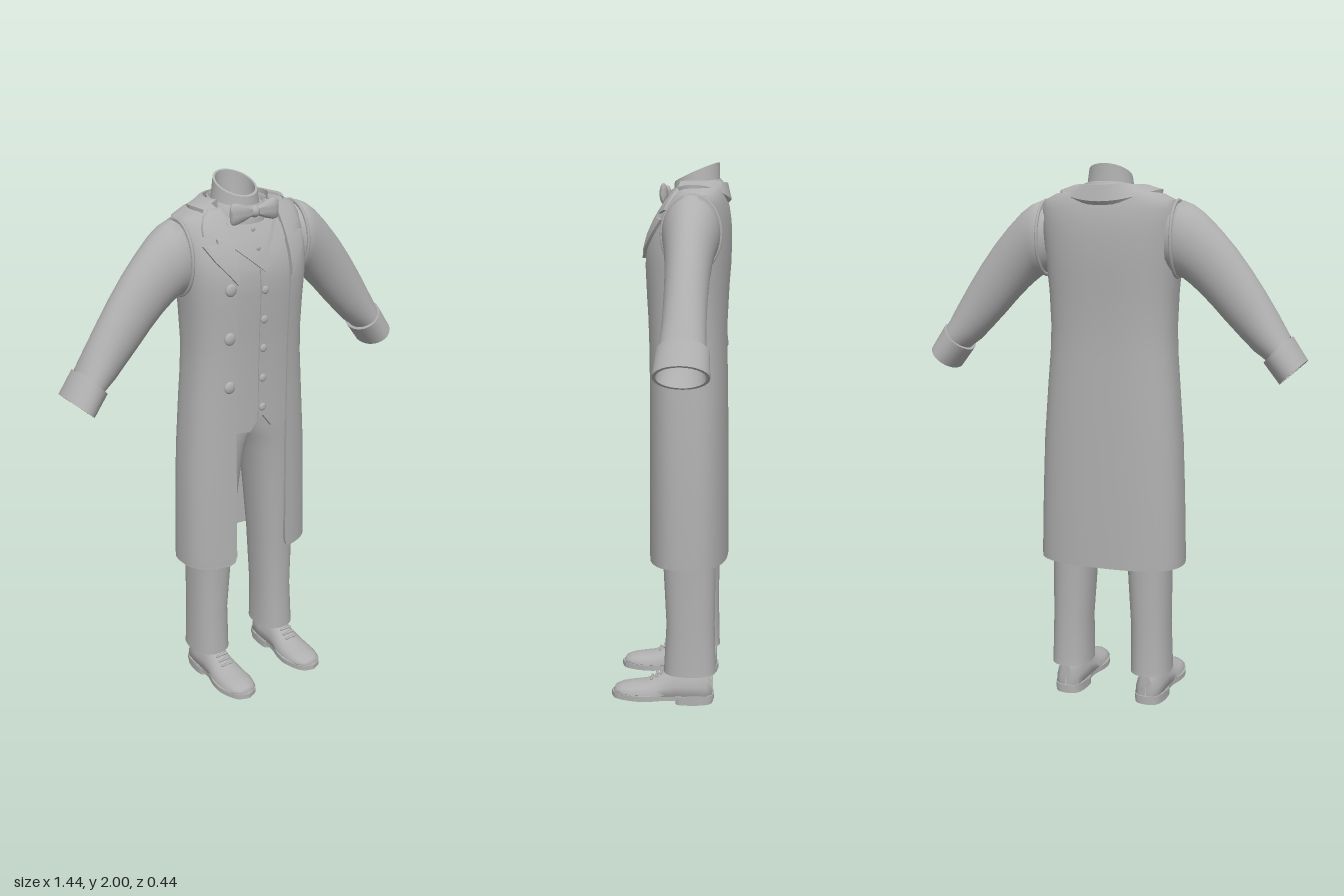
import * as THREE from 'three';
import { toCreasedNormals } from 'three/addons/utils/BufferGeometryUtils.js';

const grey = new THREE.MeshStandardMaterial({ color: 0xb0b0b0, side: THREE.DoubleSide });
grey.name = 'grey cloth';

function add(parent, name, geo) {
  const mesh = new THREE.Mesh(geo, grey);
  mesh.name = name;
  parent.add(mesh);
  return mesh;
}

// Skin a list of equal-length cross-sections.
function loft(rings, closed = true, crease = 0.8) {
  const n = rings[0].length, index = [];
  for (let i = 0; i < rings.length - 1; i++) {
    for (let j = 0; j < (closed ? n : n - 1); j++) {
      const k = (j + 1) % n, a = i * n, b = a + n;
      index.push(a + j, a + k, b + k, a + j, b + k, b + j);
    }
  }
  const geo = new THREE.BufferGeometry();
  geo.setAttribute('position', new THREE.Float32BufferAttribute(rings.flat(2), 3));
  geo.setIndex(index);
  return toCreasedNormals(geo, crease);
}

const range = (n, f) => Array.from({ length: n }, (_, i) => f(i));
const lerp = THREE.MathUtils.lerp;

// Coat sections: y, half width, front z, back z
const COAT = [
  [0.535, 0.278, 0.085, -0.21], [0.545, 0.278, 0.085, -0.21], [0.57, 0.278, 0.085, -0.21],
  [0.8, 0.272, 0.085, -0.208], [1, 0.264, 0.085, -0.206], [1.2, 0.249, 0.086, -0.203],
  [1.32, 0.239, 0.088, -0.2], [1.42, 0.235, 0.091, -0.2], [1.55, 0.24, 0.098, -0.206],
  [1.63, 0.248, 0.101, -0.212], [1.69, 0.253, 0.097, -0.214], [1.74, 0.256, 0.083, -0.214],
  [1.79, 0.257, 0.06, -0.212], [1.84, 0.256, 0.03, -0.205], [1.872, 0.246, 0.005, -0.196],
  [1.895, 0.2, -0.01, -0.188], [1.915, 0.118, -0.02, -0.183],
];
const POW = 2.6;

function coatAt(y) {
  let i = 0;
  while (i < COAT.length - 2 && COAT[i + 1][0] < y) i++;
  const t = THREE.MathUtils.clamp((y - COAT[i][0]) / (COAT[i + 1][0] - COAT[i][0]), 0, 1);
  return COAT[i].map((v, k) => lerp(v, COAT[i + 1][k], t));
}

function frontZ(x, y) {
  const [, rx, zf, zb] = coatAt(y);
  const d = Math.max(0, 1 - Math.abs(x / rx) ** POW) ** (1 / POW);
  return (zf + zb) / 2 + ((zf - zb) / 2) * d;
}

// A panel laid over the chest, with its border turned in; f(u, v) gives [x, y].
function drape(nu, nv, off, f) {
  return loft(range(nv + 3, (j) => range(nu + 3, (i) => {
    const a = Math.min(Math.max(i - 1, 0), nu), b = Math.min(Math.max(j - 1, 0), nv);
    const [x, y] = f(a / nu, b / nv, b);
    const rim = a !== i - 1 || b !== j - 1;
    return [x, y, frontZ(x, y) + off - (rim ? 0.016 : 0)];
  })), false, 0.6);
}

// Horizontal oval, optionally tilted so that its back is higher
function oval(y, rx, zf, zb, tilt = 0, xc = 0, pow = 2, n = 40) {
  const zc = (zf + zb) / 2, rz = (zf - zb) / 2;
  return range(n, (i) => {
    const t = (i / n) * Math.PI * 2, s = Math.sin(t), c = Math.cos(t);
    const x = xc + rx * Math.sign(s) * Math.abs(s) ** (2 / pow);
    const z = rz * Math.sign(c) * Math.abs(c) ** (2 / pow);
    return [x, y - tilt * z, zc + z];
  });
}

function coatGeometry() {
  const n = 56;
  const rings = COAT.map(([y, rx, zf, zb], row) => {
    const open = [0.145, 0.124, 0.116][row] ?? 0.116;
    const side = (inset) => range(n, (i) => {
      const w = rx - inset, rz = (zf - zb) / 2 - inset;
      const a = Math.asin(Math.min(1, open / w) ** (POW / 2));
      const t = lerp(a, Math.PI * 2 - a, i / (n - 1)), s = Math.sin(t), c = Math.cos(t);
      return [w * Math.sign(s) * Math.abs(s) ** (2 / POW), y,
        (zf + zb) / 2 + rz * Math.sign(c) * Math.abs(c) ** (2 / POW)];
    });
    return [...side(0), ...side(0.012).reverse()];
  });
  // Hem closes onto the lining
  const half = rings[0].slice(0, n);
  rings.unshift([...rings[0].slice(n).reverse(), ...half.map((_, i) => rings[0][n + i])]);
  return loft(rings);
}

// Arm section between an upper and a lower point, with half depth
function armRing([tx, ty, bx, by, hw], k = 1) {
  return range(28, (i) => {
    const t = (i / 28) * Math.PI * 2, c = Math.cos(t) * 0.5 * k;
    return [(tx + bx) / 2 + (tx - bx) * c, (ty + by) / 2 + (ty - by) * c, -0.083 + hw * k * Math.sin(t)];
  });
}

function buildArm(side) {
  const arm = new THREE.Group();
  arm.name = side > 0 ? 'leftArm' : 'rightArm';
  arm.scale.x = side;
  add(arm, 'sleeve', loft([
    [0.235, 1.855, 0.22, 1.63, 0.09], [0.262, 1.868, 0.25, 1.61, 0.1], [0.27, 1.872, 0.258, 1.603, 0.102],
    [0.305, 1.858, 0.275, 1.6, 0.098], [0.345, 1.83, 0.302, 1.58, 0.091], [0.4, 1.777, 0.335, 1.552, 0.083],
    [0.46, 1.71, 0.38, 1.508, 0.077], [0.515, 1.638, 0.43, 1.455, 0.074], [0.565, 1.565, 0.483, 1.402, 0.073],
    [0.615, 1.485, 0.535, 1.352, 0.074], [0.66, 1.407, 0.585, 1.318, 0.078],
  ].map((r) => armRing(r))));
  const top = [0.668, 1.408, 0.572, 1.312, 0.088], end = [0.722, 1.326, 0.63, 1.24, 0.094];
  add(arm, 'cuff', loft([armRing(top, 0.85), armRing(top), armRing(end), armRing(end, 0.88),
    armRing(top, 0.82), armRing([0.61, 1.5, 0.53, 1.36, 0.07], 0.6), armRing([0.6, 1.5, 0.53, 1.37, 0.07], 0.01)]));
  // Raised armhole seam
  const seam = add(arm, 'armholeSeam', new THREE.TorusGeometry(1, 0.06, 8, 40));
  seam.geometry.scale(0.104, 0.133, 0.1).rotateY(Math.PI / 2);
  seam.position.set(0.252, 1.738, -0.083);
  return arm;
}

// Shoe outline from above, for soles and heels
function slab(outline, y, depth) {
  const shape = new THREE.Shape();
  shape.setFromPoints(new THREE.SplineCurve(outline.map(([x, z]) => new THREE.Vector2(x, -z))).getPoints(48));
  return new THREE.ExtrudeGeometry(shape, { depth, bevelEnabled: false }).rotateX(-Math.PI / 2).translate(0, y, 0);
}

function buildLeg(side) {
  const leg = new THREE.Group();
  leg.name = side > 0 ? 'leftLeg' : 'rightLeg';
  leg.scale.x = side;
  // Rows: y, inner x, outer x, front z, back z
  add(leg, 'trouserLeg', loft([
    [0.13, 0.1, 0.22, 0, -0.155], [0.115, 0.084, 0.237, 0.022, -0.174], [0.132, 0.085, 0.236, 0.022, -0.172],
    [0.3, 0.084, 0.231, 0.013, -0.168], [0.54, 0.068, 0.231, 0.026, -0.17], [0.8, 0.044, 0.236, 0.042, -0.178],
    [0.95, 0.022, 0.238, 0.052, -0.184], [1.02, 0.004, 0.236, 0.058, -0.186], [1.07, -0.02, 0.234, 0.062, -0.186],
    [1.2, -0.03, 0.225, 0.064, -0.184],
  ].map(([y, a, b, zf, zb]) => oval(y, (b - a) / 2, zf, zb, 0, (a + b) / 2, 2.3, 32))));

  const shoe = new THREE.Group();
  shoe.name = 'shoe';
  shoe.position.x = 0.162;
  leg.add(shoe);
  // Rows: z, half width, top y
  add(shoe, 'shoeUpper', loft([
    [-0.162, 0.002, 0.07], [-0.16, 0.028, 0.12], [-0.14, 0.046, 0.135], [-0.09, 0.053, 0.14], [-0.02, 0.054, 0.14],
    [0.015, 0.057, 0.118], [0.05, 0.062, 0.094], [0.09, 0.066, 0.078], [0.14, 0.064, 0.07], [0.18, 0.054, 0.063],
    [0.205, 0.035, 0.053], [0.213, 0.003, 0.04],
  ].map(([z, w, top]) => range(20, (i) => {
    const t = (i / 20) * Math.PI * 2, s = Math.sin(t);
    return [w * Math.cos(t), 0.035 + (s > 0 ? (top - 0.035) * s : 0.012 * s), z];
  }))));
  const sole = [[0, 0.222], [0.045, 0.2], [0.071, 0.13], [0.069, 0.07], [0.052, 0], [0.057, -0.1], [0.04, -0.155],
    [0, -0.168], [-0.04, -0.155], [-0.057, -0.1], [-0.052, 0], [-0.069, 0.07], [-0.071, 0.13], [-0.045, 0.2], [0, 0.222]];
  add(shoe, 'sole', slab(sole, 0.014, 0.02));
  const heel = [[0, -0.03], [0.053, -0.03], [0.057, -0.1], [0.04, -0.15], [0, -0.163],
    [-0.04, -0.15], [-0.057, -0.1], [-0.053, -0.03], [0, -0.03]];
  add(shoe, 'heel', slab(heel, 0, 0.03));
  // Laces
  for (let i = 0; i < 4; i++) {
    const lace = add(shoe, 'lace', new THREE.CapsuleGeometry(0.005, 0.045, 3, 8).rotateZ(Math.PI / 2));
    lace.position.set(0, 0.123 - i * 0.012, 0.014 + i * 0.018);
  }
  return leg;
}

function button(parent, name, x, y, r, off) {
  const b = add(parent, name, new THREE.SphereGeometry(r, 18, 12).scale(1, 1, 0.45));
  b.position.set(x, y, frontZ(x, y) + off);
}

export function createModel() {
  const model = new THREE.Group();
  model.name = 'formalSuit';
  add(model, 'coat', coatGeometry());

  // Coat collar wrapping the back of the neck
  add(model, 'coatCollar', loft(range(33, (i) => {
    const t = lerp(-2, 2, i / 32), s = Math.sin(t), c = Math.cos(t), q = s * s;
    const at = (rx, rz, y) => [rx * s, y, -0.083 - rz * c];
    return [at(0.118, 0.108, 1.9), at(0.12, 0.108, 1.928), at(0.135, 0.116, 1.926),
      at(0.19, 0.13, 1.868 + 0.042 * q), at(0.19, 0.12, 1.855 + 0.042 * q)];
  })));

  // Notched lapels: y, outer x
  const LAPEL = [[1.655, 0.118], [1.69, 0.146], [1.74, 0.187], [1.79, 0.214], [1.798, 0.165],
    [1.812, 0.165], [1.822, 0.205], [1.85, 0.2], [1.88, 0.182], [1.9, 0.15]];
  for (const s of [1, -1]) {
    add(model, 'lapel', drape(8, LAPEL.length - 1, 0.012,
      (u, v, row) => [s * lerp(0.114, LAPEL[row][1], u), LAPEL[row][0]]));
  }
  for (const y of [1.64, 1.46, 1.275]) button(model, 'coatButton', -0.143, y, 0.023, 0.004);

  // Waistcoat: two overlapping fronts with pointed hems and a V neck
  const hem = (x) => (x < 0.05 ? lerp(1.14, 1.075, x / 0.05) : lerp(1.075, 1.09, (x - 0.05) / 0.1));
  const neck = (x) => 1.71 + 1.3 * x;
  for (const [a, b, off] of [[-0.15, -0.012, -0.012], [-0.016, 0.15, -0.007]]) {
    add(model, 'waistcoatFront', drape(16, 30, off, (u, v) => {
      const x = lerp(a, b, u), m = Math.abs(x);
      return [x, lerp(hem(m), Math.min(neck(m), 1.86), v)];
    }));
  }
  for (const s of [1, -1]) {
    add(model, 'waistcoatCollar', drape(10, 4, 0.001,
      (u, v) => [s * lerp(0, lerp(0.125, 0.105, v), u), lerp(lerp(1.685, 1.72, v), lerp(1.79, 1.855, v), u)]));
  }
  for (const y of [1.62, 1.51, 1.4, 1.285, 1.17]) button(model, 'waistcoatButton', -0.002, y, 0.015, -0.002);

  // Shirt front, standing collar and open neck
  add(model, 'shirtFront', drape(14, 14, -0.022, (u, v) => [lerp(-0.135, 0.135, u), lerp(1.66, 1.9, v)]));
  for (const y of [1.76, 1.82]) button(model, 'shirtStud', 0, y, 0.009, -0.02);
  add(model, 'shirtCollar', loft([
    [1.86, 0.112, 0.02, -0.182], [1.915, 0.106, 0.014, -0.18], [1.92, 0.1, 0.008, -0.176], [1.9, 0.09, 0, -0.17],
  ].map(([y, rx, zf, zb]) => oval(y, rx, zf, zb, 0.2))));
  add(model, 'neckOpening', loft([
    [1.85, 0.098, 0.01, -0.176], [1.91, 0.086, 0.002, -0.17], [1.965, 0.077, -0.004, -0.168],
    [1.966, 0.069, -0.012, -0.16], [1.91, 0.066, -0.012, -0.156], [1.87, 0.06, -0.02, -0.15], [1.865, 0.001, -0.08, -0.082],
  ].map(([y, rx, zf, zb]) => oval(y, rx, zf, zb, 0.42))));

  // Bow tie: wings widen outwards from the knot
  const bow = new THREE.Group();
  bow.name = 'bowTie';
  bow.position.set(0, 1.885, 0.03);
  model.add(bow);
  for (const s of [1, -1]) {
    add(bow, 'bowWing', loft([
      [0, 0.014, 0.008], [0.02, 0.018, 0.012], [0.05, 0.03, 0.016], [0.08, 0.038, 0.015], [0.096, 0.036, 0.011],
      [0.102, 0.028, 0.005], [0.102, 0.001, 0.001],
    ].map(([x, h, d]) => range(18, (i) => {
      const t = (i / 18) * Math.PI * 2;
      return [s * x, h * Math.cos(t), s * d * Math.sin(t)];
    }))));
  }
  add(bow, 'bowKnot', new THREE.SphereGeometry(0.021, 18, 14).scale(0.9, 1, 0.9));

  for (const s of [1, -1]) model.add(buildArm(s), buildLeg(s));
  return model;
}
